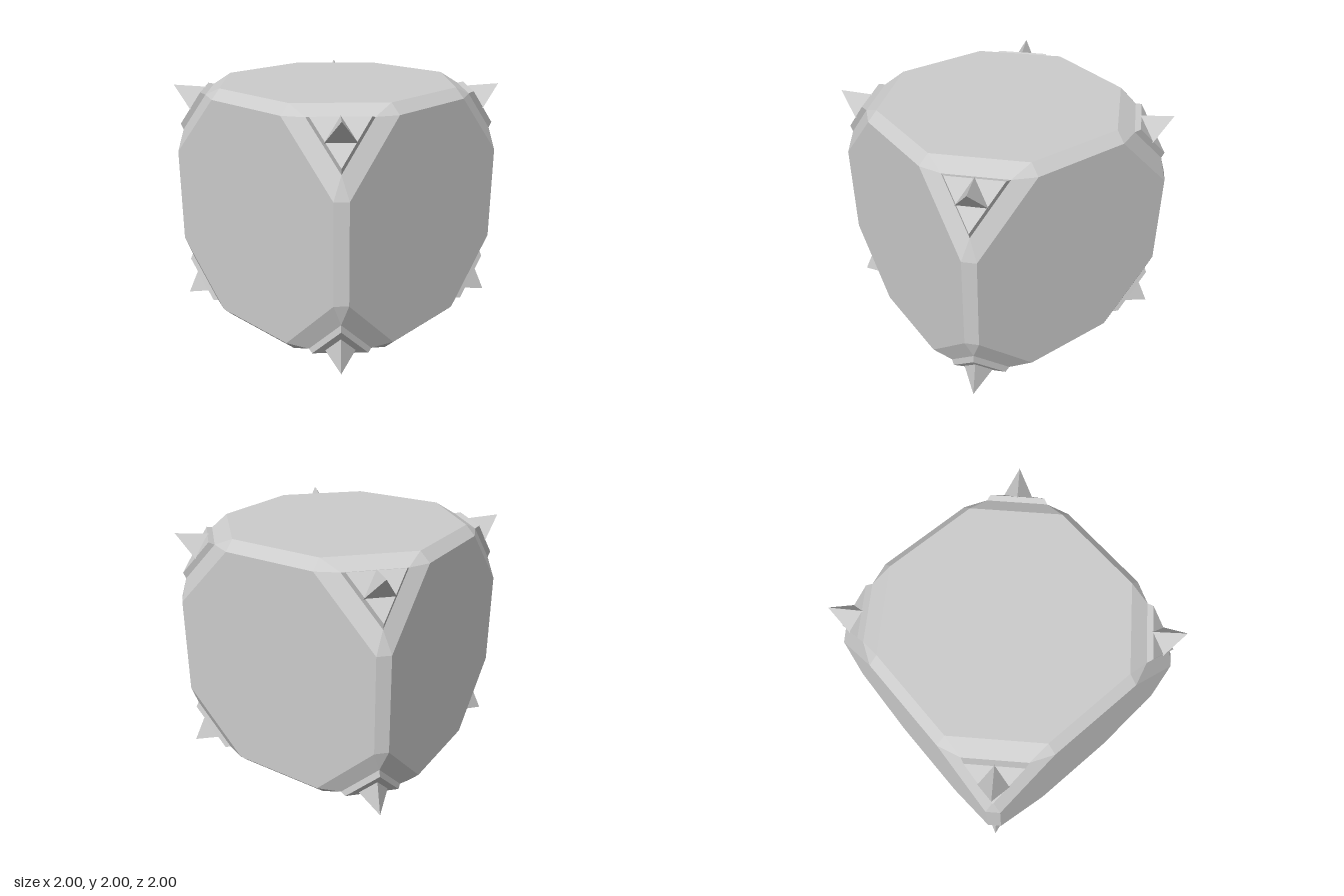
import * as THREE from 'three';

// Flat-sided mesh from convex polygons, each wound to face away from the centre
function facetMesh(name, polygons, material) {
  const pos = [];
  for (const poly of polygons) {
    const mid = new THREE.Vector3();
    poly.forEach((p) => mid.add(p));
    const normal = poly[1].clone().sub(poly[0]).cross(poly[2].clone().sub(poly[0]));
    const pts = normal.dot(mid) < 0 ? [...poly].reverse() : poly;
    for (let i = 1; i < pts.length - 1; i++) {
      for (const p of [pts[0], pts[i], pts[i + 1]]) pos.push(p.x, p.y, p.z);
    }
  }
  const geometry = new THREE.BufferGeometry();
  geometry.setAttribute('position', new THREE.Float32BufferAttribute(pos, 3));
  geometry.computeVertexNormals();
  const mesh = new THREE.Mesh(geometry, material);
  mesh.name = name;
  return mesh;
}

// Point whose component along axis k is w, and u, v along the next two axes
function axisPoint(k, w, u, v) {
  const p = new THREE.Vector3();
  p.setComponent(k, w);
  p.setComponent((k + 1) % 3, u);
  p.setComponent((k + 2) % 3, v);
  return p;
}

export function createModel() {
  const grey = new THREE.MeshStandardMaterial({ color: 0xcccccc, flatShading: true });
  grey.name = 'stone grey';
  const model = new THREE.Group();
  model.name = 'spikedCube';
  const body = new THREE.Group();
  body.name = 'body';
  body.position.y = 1;
  model.add(body);

  const A = 0.92, B = 0.4; // octagon corner coordinates
  const signs = [-1, 1];
  const panels = [], bevels = [];

  for (let k = 0; k < 3; k++) {
    // Octagonal panels
    for (const s of signs) {
      const ring = [[A, -B], [A, B], [B, A], [-B, A], [-A, B], [-A, -B], [-B, -A], [B, -A]];
      panels.push(ring.map(([u, v]) => axisPoint(k, s, u, v)));
    }
    // Bevels along the twelve edges
    for (const su of signs) for (const sv of signs) {
      bevels.push([
        axisPoint(k, -B, su * A, sv), axisPoint(k, B, su * A, sv),
        axisPoint(k, B, su, sv * A), axisPoint(k, -B, su, sv * A),
      ]);
    }
  }
  body.add(facetMesh('facePanels', panels, grey), facetMesh('edgeBevels', bevels, grey));

  // Eight corners: sloping frame, raised plate and three-sided spike
  for (const sx of signs) for (const sy of signs) for (const sz of signs) {
    const sign = new THREE.Vector3(sx, sy, sz);
    const at = (k, w, u, v) => axisPoint(k, w, u, v).multiply(sign);
    const inner = [0, 1, 2].map((k) => at(k, 0.58, 0.926, 0.926));
    const plate = [0, 1, 2].map((k) => at(k, 0.63, 0.94, 0.94));
    // the spikes on top are turned half a step against those below
    const base = [0, 1, 2].map((k) => (sy > 0 ? at(k, 0.946, 0.777, 0.777) : at(k, 0.727, 0.893, 0.893)));
    const tip = at(0, 0.964, 0.964, 0.964);
    const frame = [], mount = [plate], spike = [];
    for (let k = 0; k < 3; k++) {
      const i = (k + 1) % 3, j = (k + 2) % 3;
      frame.push([at(k, 1, A, B), at(k, 1, B, A), inner[i], inner[j]]);
      frame.push([at(k, B, A, 1), at(k, B, 1, A), inner[k]]);
      mount.push([inner[i], inner[j], plate[j], plate[i]]);
      spike.push([base[i], base[j], tip]);
    }
    const corner = new THREE.Group();
    corner.name = `${sy > 0 ? 'top' : 'bottom'}${sz > 0 ? 'Front' : 'Back'}${sx > 0 ? 'Left' : 'Right'}Corner`;
    corner.add(
      facetMesh('cornerFrame', frame, grey),
      facetMesh('spikeMount', mount, grey),
      facetMesh('spike', spike, grey),
    );
    body.add(corner);
  }
  return model;
}
